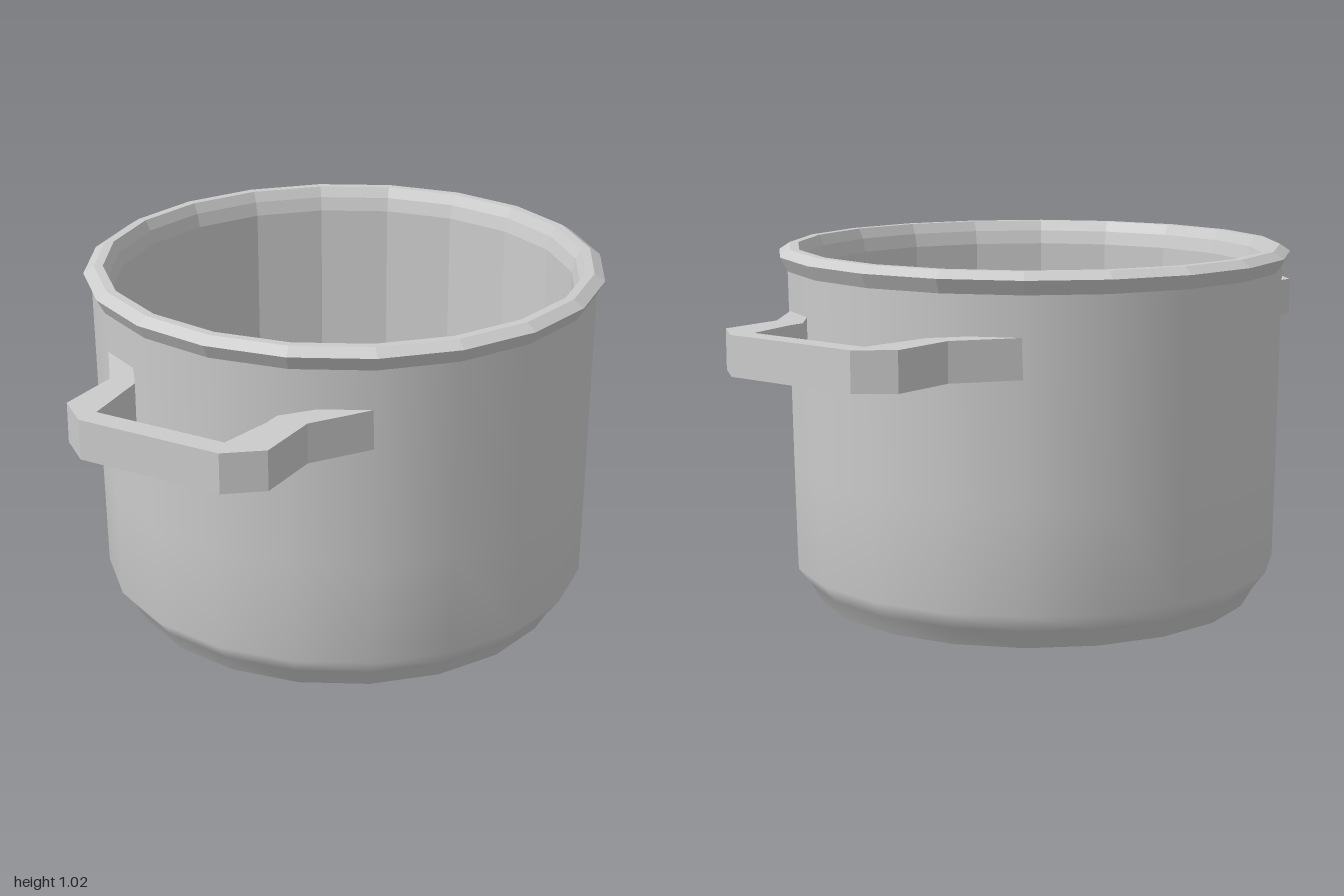
import * as THREE from 'three';

const SIDES = 20;
const smooth = new THREE.MeshStandardMaterial({ color: 0xcccccc });
const flat = new THREE.MeshStandardMaterial({ color: 0xcccccc, flatShading: true });

// One band of the pot, turned from a [radius, height] profile
function band(name, material, profile) {
  const points = profile.map(([r, y]) => new THREE.Vector2(r, y));
  const mesh = new THREE.Mesh(new THREE.LatheGeometry(points, SIDES), material);
  mesh.name = name;
  return mesh;
}

// Angular loop handle; side = 1 for front, -1 for back
function handle(name, side) {
  const outline = [
    [0.415, 0.575], [0.31, 0.735], [0.31, 0.925], [0.215, 1],
    [-0.205, 1], [-0.297, 0.925], [-0.297, 0.735], [-0.415, 0.575],
    [-0.3, 0.625], [-0.22, 0.73], [-0.195, 0.937],
    [0.192, 0.937], [0.217, 0.78], [0.217, 0.73], [0.3, 0.625],
  ];
  const shape = new THREE.Shape(outline.map(([x, z]) => new THREE.Vector2(x, side * z)));
  const geometry = new THREE.ExtrudeGeometry(shape, { depth: 0.11, bevelEnabled: false });
  geometry.rotateX(Math.PI / 2).translate(0, 0.85, 0);
  const mesh = new THREE.Mesh(geometry, flat);
  mesh.name = name;
  return mesh;
}

export function createModel() {
  const pot = new THREE.Group();
  pot.name = 'cookingPot';
  pot.add(
    band('underside', flat, [[0, 0], [0.63, 0]]),
    band('outerWall', smooth, [[0.63, 0], [0.662, 0.055], [0.7, 0.105], [0.705, 0.4], [0.713, 0.96]]),
    // Flared lip, from below the rim over to the inside
    band('rim', flat, [[0.713, 0.96], [0.735, 1], [0.705, 1.02], [0.68, 1.02], [0.665, 0.99]]),
    band('innerWall', flat, [[0.665, 0.99], [0.655, 0.95], [0.65, 0.13]]),
    band('floor', smooth, [[0.65, 0.13], [0.635, 0.085], [0.59, 0.06], [0, 0.06]]),
    handle('frontHandle', 1),
    handle('backHandle', -1),
  );
  return pot;
}
